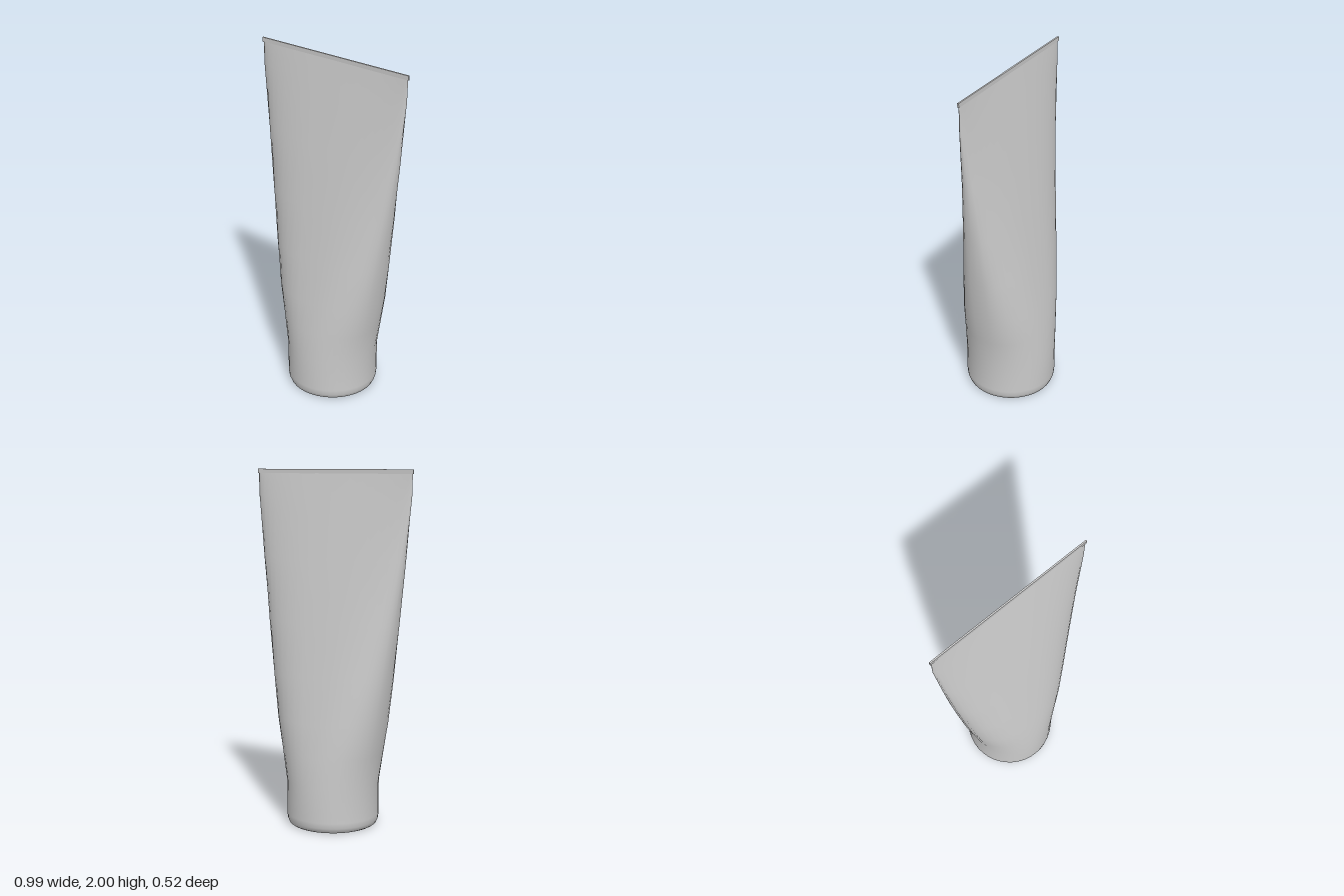
import * as THREE from 'three';

const SIDES = 40;

// Cross-sections: [height, half width, half depth, roundness exponent]
const SECTIONS = [
  [0, 0.238, 0.238, 2],
  [0.008, 0.25, 0.25, 2],
  [0.03, 0.259, 0.259, 2],
  [0.06, 0.262, 0.262, 2],
  [0.25, 0.262, 0.262, 2],
  [0.42, 0.292, 0.247, 2.15],
  [0.6, 0.325, 0.225, 2.35],
  [0.85, 0.363, 0.186, 2.5],
  [1.15, 0.406, 0.14, 2.5],
  [1.5, 0.45, 0.083, 2.5],
  [1.85, 0.489, 0.025, 2.5],
  [1.98, 0.492, 0.004, 2.5],
];

const soften = (v, n) => Math.sign(v) * Math.abs(v) ** (2 / n);

// Skin that runs from a round base to a flat pinched end
function loftSections(sections) {
  const positions = [];
  const indices = [];
  sections.forEach(([y, w, d, n], r) => {
    for (let i = 0; i < SIDES; i++) {
      const t = (i / SIDES) * Math.PI * 2;
      positions.push(w * soften(Math.cos(t), n), y, d * soften(Math.sin(t), n));
      if (r === sections.length - 1) continue;
      const a = r * SIDES + i;
      const b = r * SIDES + ((i + 1) % SIDES);
      indices.push(a, a + SIDES, b, a + SIDES, b + SIDES, b);
    }
  });
  const geometry = new THREE.BufferGeometry();
  geometry.setAttribute('position', new THREE.Float32BufferAttribute(positions, 3));
  geometry.setIndex(indices);
  geometry.computeVertexNormals();
  return geometry;
}

export function createModel() {
  const group = new THREE.Group();
  group.name = 'squeezeTube';
  const material = new THREE.MeshStandardMaterial({ color: 0xcccccc });

  const add = (name, geometry) => {
    const mesh = new THREE.Mesh(geometry, material);
    mesh.name = name;
    group.add(mesh);
    return mesh;
  };

  // Tapering body
  add('tubeBody', loftSections(SECTIONS));

  // Flat disc closing the base
  add('baseCap', new THREE.CircleGeometry(SECTIONS[0][1], SIDES)).rotation.x = Math.PI / 2;

  // Thin sealed strip along the top
  add('crimpedEnd', new THREE.BoxGeometry(0.994, 0.024, 0.009)).position.y = 1.988;

  return group;
}
